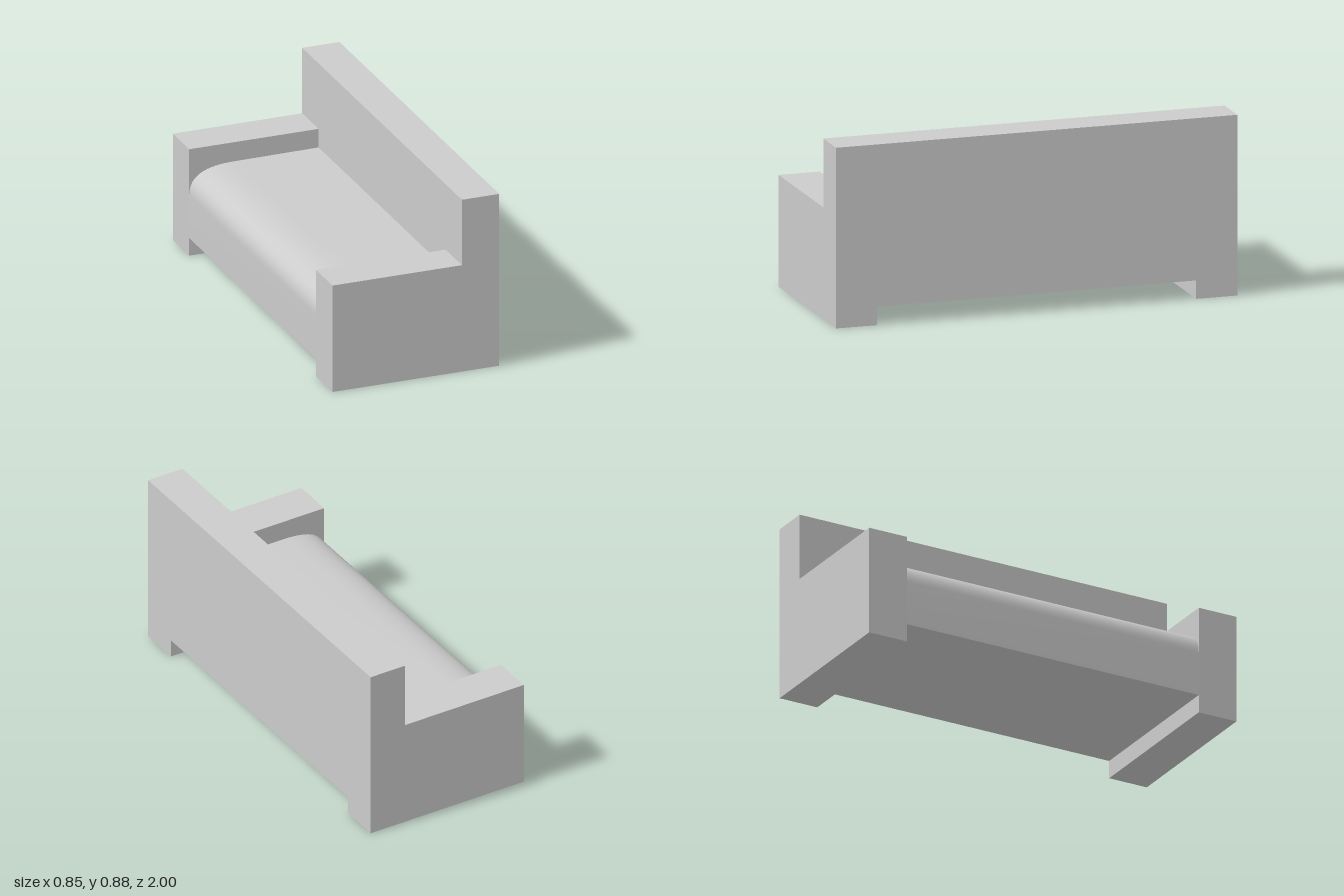
import * as THREE from 'three';
import { toCreasedNormals } from 'three/addons/utils/BufferGeometryUtils.js';

const FRONT = -0.425, REAR = 0.425, BACK_FACE = 0.235; // the sofa seat faces -x
const CLEARANCE = 0.09, SEAT_TOP = 0.45, ARM_TOP = 0.545, BACK_TOP = 0.88;
const INNER = 0.795, OUTER = 1;

export function createModel() {
  const sofa = new THREE.Group();
  sofa.name = 'sofa';
  const material = new THREE.MeshStandardMaterial({ color: 0xcccccc });

  // Extrude a side profile (x, y) from z0 to z1
  function addProfile(name, shape, z0, z1) {
    const extruded = new THREE.ExtrudeGeometry(shape, {
      depth: z1 - z0, bevelEnabled: false, curveSegments: 16,
    });
    const mesh = new THREE.Mesh(toCreasedNormals(extruded, 0.6), material);
    mesh.position.z = z0;
    mesh.name = name;
    sofa.add(mesh);
  }

  // Full-length backrest
  const back = new THREE.Shape();
  back.moveTo(BACK_FACE, CLEARANCE);
  back.lineTo(REAR, CLEARANCE);
  back.lineTo(REAR, BACK_TOP);
  back.lineTo(BACK_FACE, BACK_TOP);
  addProfile('backrest', back, -OUTER, OUTER);

  // Arms reach the ground and carry a foot under the backrest
  const arm = new THREE.Shape();
  arm.moveTo(FRONT, 0);
  arm.lineTo(REAR, 0);
  arm.lineTo(REAR, CLEARANCE);
  arm.lineTo(BACK_FACE, CLEARANCE);
  arm.lineTo(BACK_FACE, ARM_TOP);
  arm.lineTo(FRONT, ARM_TOP);
  addProfile('leftArm', arm, INNER, OUTER);
  addProfile('rightArm', arm, -OUTER, -INNER);

  // Seat with a rounded front edge
  const seat = new THREE.Shape();
  seat.moveTo(FRONT, CLEARANCE);
  seat.lineTo(BACK_FACE, CLEARANCE);
  seat.lineTo(BACK_FACE, SEAT_TOP);
  seat.lineTo(-0.2, SEAT_TOP - 0.003);
  seat.bezierCurveTo(-0.34, SEAT_TOP - 0.004, FRONT, 0.41, FRONT, 0.31);
  addProfile('seat', seat, -INNER, INNER);

  return sofa;
}
